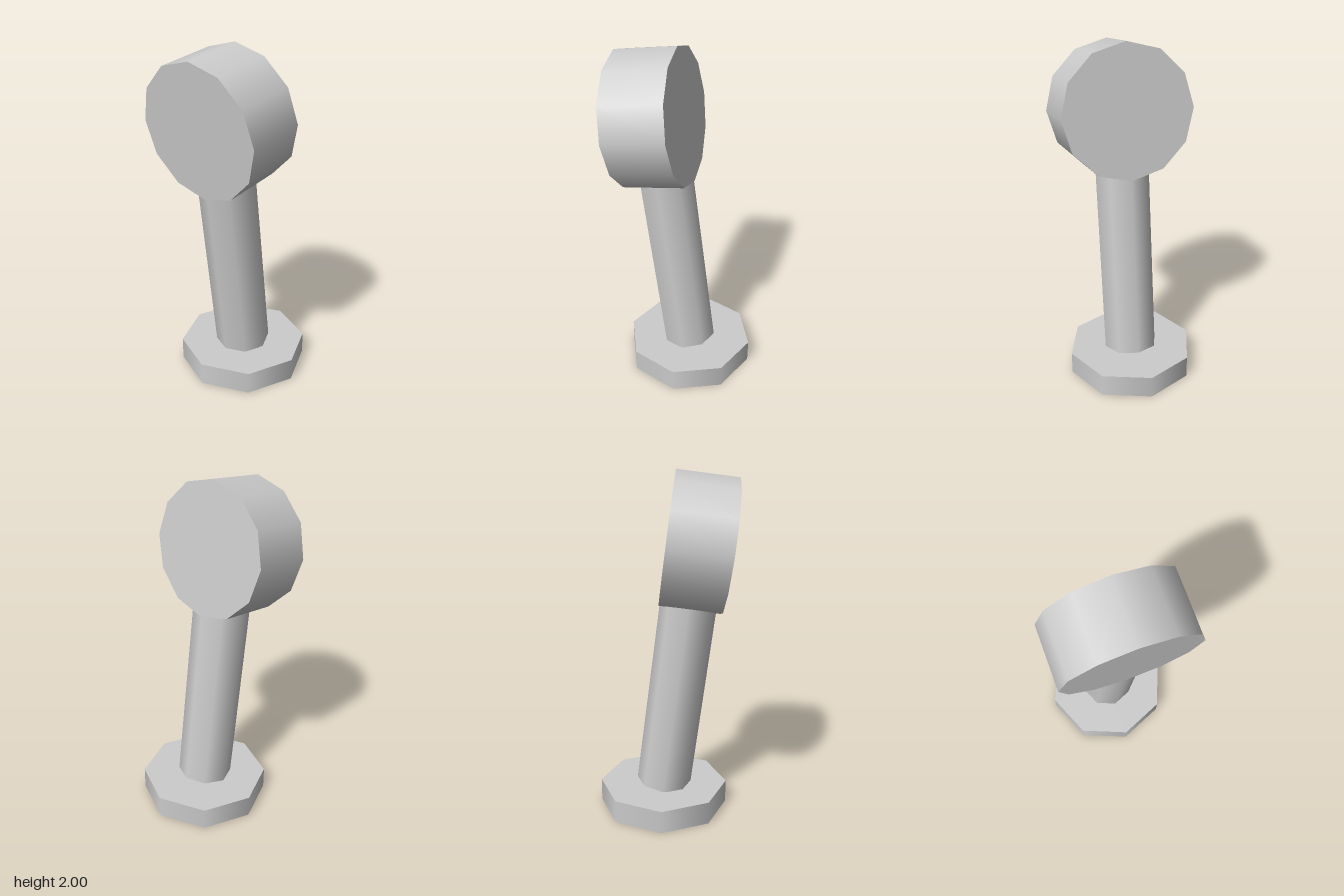
import * as THREE from 'three';

const TILT = THREE.MathUtils.degToRad(7.2);

export function createModel() {
  const model = new THREE.Group();
  model.name = 'pedestalWithDrumHead';
  const grey = new THREE.MeshStandardMaterial({ color: 0xcccccc });
  grey.name = 'lightGrey';

  // Capped prism with smooth sides, centred at (0, y, z) and leaning forward
  function addCylinder(name, radius, length, sides, y, z, lean) {
    const mesh = new THREE.Mesh(new THREE.CylinderGeometry(radius, radius, length, sides), grey);
    mesh.name = name;
    mesh.position.set(0, y, z);
    mesh.rotation.x = lean;
    model.add(mesh);
    return mesh;
  }

  // Eight-sided foot plate
  addCylinder('base', 0.383, 0.136, 8, 0.068, -0.017, 0);

  // Leaning post, its upper end buried in the head
  const postLength = 1.3;
  addCylinder('post', 0.163, postLength, 8,
    0.14 + Math.cos(TILT) * postLength / 2,
    -0.014 + Math.sin(TILT) * postLength / 2, TILT);

  // Twelve-sided drum facing forward and slightly down
  addCylinder('head', 0.383, 0.353, 12, 1.598, 0.18, TILT + Math.PI / 2);

  return model;
}
